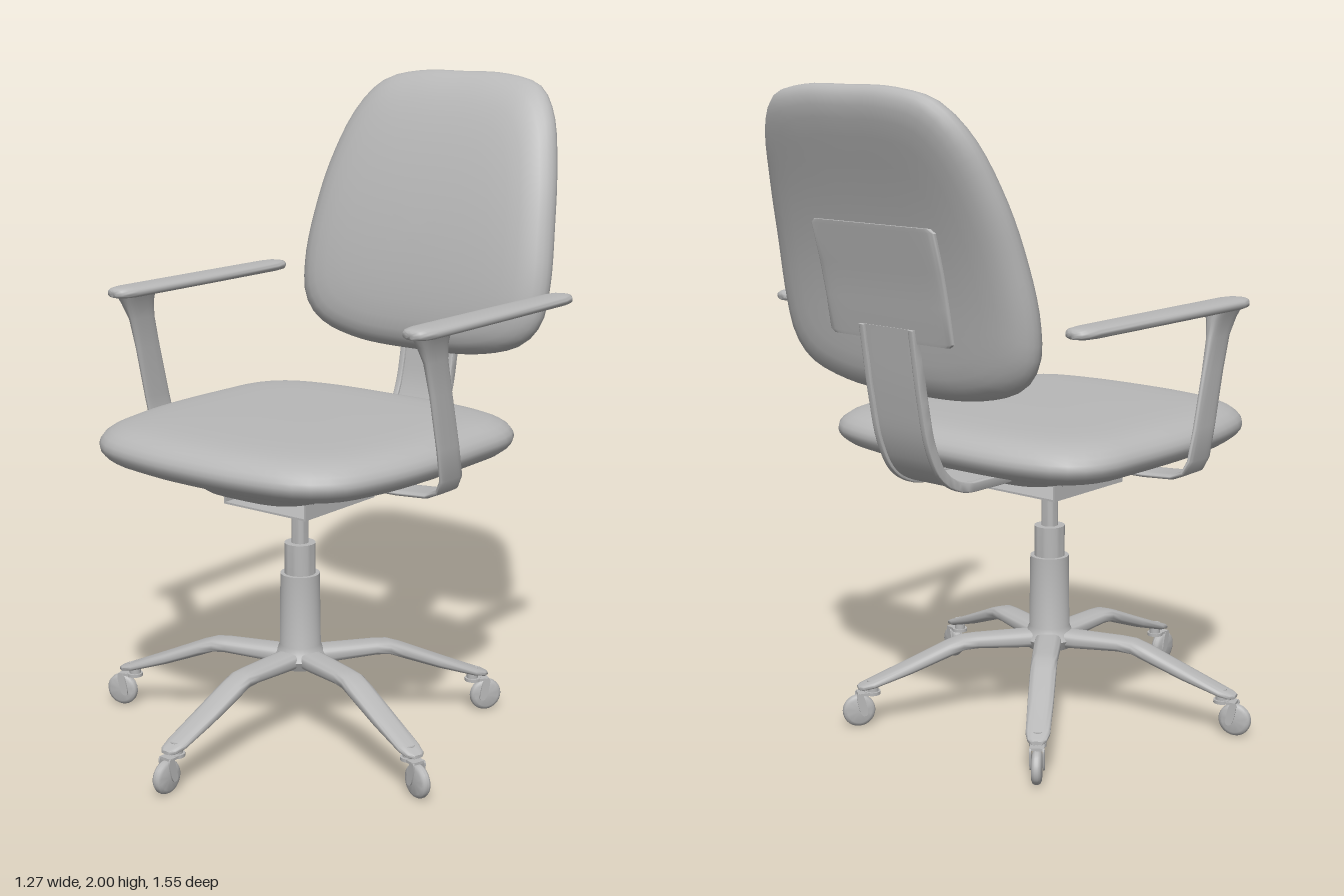
import * as THREE from 'three';
import { toCreasedNormals } from 'three/addons/utils/BufferGeometryUtils.js';

const V = (x, y, z) => new THREE.Vector3(x, y, z);
const grey = new THREE.MeshStandardMaterial({ color: 0xb8b8b8 });
grey.name = 'plainGrey';

// Skin over closed rings of points, capped at both ends and turned outward
function loft(rings, crease = 0.8) {
  const n = rings[0].length, pos = [], idx = [];
  rings.forEach(r => r.forEach(p => pos.push(p.x, p.y, p.z)));
  for (let i = 0; i < rings.length - 1; i++) for (let j = 0; j < n; j++) {
    const a = i * n + j, b = i * n + (j + 1) % n;
    idx.push(a, b, b + n, a, b + n, a + n);
  }
  [0, rings.length - 1].forEach((r, end) => {
    const c = rings[r].reduce((s, p) => s.add(p), V(0, 0, 0)).divideScalar(n);
    const k = pos.length / 3;
    pos.push(c.x, c.y, c.z);
    for (let j = 0; j < n; j++) {
      const a = r * n + j, b = r * n + (j + 1) % n;
      end ? idx.push(k, a, b) : idx.push(k, b, a);
    }
  });
  const at = i => V(pos[3 * i], pos[3 * i + 1], pos[3 * i + 2]);
  let volume = 0;
  for (let i = 0; i < idx.length; i += 3) volume += at(idx[i]).dot(at(idx[i + 1]).cross(at(idx[i + 2])));
  if (volume < 0) idx.reverse();
  const g = new THREE.BufferGeometry();
  g.setAttribute('position', new THREE.Float32BufferAttribute(pos, 3));
  g.setIndex(idx);
  return toCreasedNormals(g, crease);
}

// Rounded section spanned by half axes a and b
function section(c, a, b, power = 4, n = 20) {
  const f = t => Math.sign(t) * Math.pow(Math.abs(t), 2 / power);
  return Array.from({ length: n }, (_, i) => {
    const t = (i + 0.5) / n * Math.PI * 2;
    return c.clone().addScaledVector(a, f(Math.cos(t))).addScaledVector(b, f(Math.sin(t)));
  });
}

// Padded shape: mirrored half outline, domed on both sides
function cushion(half, centre, map) {
  const pts = half.map(([u, v]) => V(u, v, 0));
  for (let i = half.length - 2; i > 0; i--) pts.push(V(-half[i][0], half[i][1], 0));
  const outline = new THREE.CatmullRomCurve3(pts, true).getSpacedPoints(72).slice(0, 72);
  const dome = [[0.03, 1], [0.2, 1], [0.4, 0.995], [0.58, 0.98], [0.72, 0.94], [0.82, 0.87],
    [0.89, 0.76], [0.94, 0.6], [0.975, 0.4], [0.994, 0.2]];
  const rows = [...dome, [1, 0], ...dome.slice().reverse().map(([s, h]) => [s, -h])];
  return loft(rows.map(([s, h]) => outline.map(p => map(p.x * s, centre + (p.y - centre) * s, h))), 1.2);
}

function add(parent, name, geometry, x = 0, y = 0, z = 0) {
  const m = new THREE.Mesh(geometry, grey);
  m.name = name;
  m.position.set(x, y, z);
  parent.add(m);
  return m;
}

export function createModel() {
  const chair = new THREE.Group();
  chair.name = 'officeChair';
  const axisZ = 0.106;

  // Seat and the pan under it
  add(chair, 'seat', cushion([[0, 0.625], [0.2, 0.615], [0.37, 0.575], [0.46, 0.49], [0.5, 0.37], [0.525, 0.2],
    [0.527, -0.1], [0.512, -0.28], [0.45, -0.37], [0.3, -0.42], [0, -0.432]], 0.1,
  (u, v, h) => V(u, 0.937 + h * 0.073, v)));
  add(chair, 'seatPan', loft([[0.8, 0.72], [0.806, 0.77], [0.83, 0.86], [0.852, 0.97], [0.862, 1], [0.885, 1]].map(([y, s]) =>
    section(V(0, y, axisZ), V(0.275 * s, 0, 0), V(0, 0, 0.37 * s), 3.5, 48))));

  // Backrest, leaning back in a gentle curve
  const lean = y => -0.5 - 0.05 * (y - 1.12) - 0.26 * (y - 1.12) ** 2;
  add(chair, 'backrest', cushion([[0, 1.12], [0.25, 1.132], [0.4, 1.18], [0.458, 1.25], [0.475, 1.37], [0.46, 1.55],
    [0.43, 1.72], [0.375, 1.88], [0.3, 1.965], [0.17, 1.997], [0, 2.0]], 1.5,
  (u, v, h) => V(u, v, lean(v) + h * 0.076)));
  const plateRow = ([y, s]) => section(V(0, y, lean(y) - 0.068), V(0.235 * s, 0, 0), V(0, 0, 0.02 * s), 9, 32);
  add(chair, 'backPlate', loft([[1.29, 0.94], [1.3, 1], [1.4, 1], [1.5, 1], [1.61, 1], [1.622, 0.94]].map(plateRow)));

  // Curved back support: flat strip with raised edges
  const path = new THREE.CatmullRomCurve3([V(0, 0.838, -0.15), V(0, 0.838, -0.3), V(0, 0.845, -0.41), V(0, 0.89, -0.49),
    V(0, 0.98, -0.54), V(0, 1.12, -0.572), V(0, 1.33, -0.605)]);
  const strip = (x, w, t) => loft(Array.from({ length: 31 }, (_, i) => {
    const side = path.getTangent(i / 30).cross(V(1, 0, 0));
    return section(path.getPoint(i / 30).setX(x), V(w, 0, 0), side.multiplyScalar(t), 8, 16);
  }));
  add(chair, 'backSupport', strip(0, 0.1, 0.007));
  for (const s of [-1, 1]) add(chair, 'backSupportEdge', strip(s * 0.095, 0.01, 0.015));

  // Armrests: pad plus a blade that bends in under the seat
  for (const s of [-1, 1]) {
    const arm = new THREE.Group();
    arm.name = s > 0 ? 'leftArmrest' : 'rightArmrest';
    chair.add(arm);
    const pad = [[0.322, 0.25], [0.314, 0.6], [0.295, 0.85], [0.26, 1], [-0.1, 0.97], [-0.42, 0.92], [-0.46, 0.8], [-0.48, 0.55], [-0.489, 0.22]];
    add(arm, 'armPad', loft(pad.map(([z, k]) =>
      section(V(s * 0.56, 1.349, z), V(0.052 * k, 0, 0), V(0, 0.018 * Math.sqrt(k), 0), 2.6, 24)), 1.1));
    // x, y, z, half width, half thickness
    const blade = [[0.18, 0.838, 0.105, 0.055, 0.008], [0.4, 0.842, 0.105, 0.055, 0.008], [0.5, 0.85, 0.105, 0.055, 0.008],
      [0.54, 0.868, 0.106, 0.055, 0.008], [0.558, 0.905, 0.112, 0.054, 0.008], [0.561, 1.0, 0.134, 0.053, 0.008],
      [0.561, 1.16, 0.172, 0.051, 0.009], [0.56, 1.26, 0.198, 0.052, 0.013], [0.56, 1.31, 0.214, 0.062, 0.022], [0.56, 1.34, 0.222, 0.07, 0.034]];
    add(arm, 'armBlade', loft(blade.map(([x, y, z, w, t], i) => {
      const p = blade[Math.max(i - 1, 0)], q = blade[Math.min(i + 1, blade.length - 1)];
      const dir = V(q[0] - p[0], q[1] - p[1], 0).normalize();
      return section(V(s * x, y, z), V(0, 0, w), V(-s * dir.y * t, dir.x * t, 0), 3.5, 20);
    }), 1));
  }

  // Open channel under the pan, with bolts
  add(chair, 'channelFloor', new THREE.BoxGeometry(0.314, 0.006, 0.34), 0, 0.745, axisZ);
  for (const s of [-1, 1]) {
    add(chair, 'channelWall', new THREE.BoxGeometry(0.005, 0.075, 0.34), s * 0.155, 0.78, axisZ);
    for (const z of [-0.13, 0, 0.13]) {
      add(chair, 'bolt', new THREE.CylinderGeometry(0.008, 0.008, 0.006, 10).rotateZ(Math.PI / 2), s * 0.159, 0.792, axisZ + z);
    }
    add(chair, 'panScrew', new THREE.CylinderGeometry(0.01, 0.006, 0.03, 10), s * 0.195, 0.8, axisZ);
  }

  // Telescopic column
  const column = [[0, 0.215], [0.07, 0.215], [0.085, 0.245], [0.072, 0.265], [0.064, 0.285], [0.061, 0.513], [0.048, 0.513],
    [0.048, 0.61], [0.026, 0.61], [0.026, 0.722], [0.036, 0.728], [0.036, 0.744], [0, 0.744]];
  add(chair, 'column', toCreasedNormals(new THREE.LatheGeometry(column.map(([r, y]) => new THREE.Vector2(r, y)), 32), 0.7), 0, 0, axisZ);

  // Five legs with casters
  // distance, top, bottom, half width
  const leg = [[0, 0.272, 0.216, 0.04], [0.1, 0.271, 0.22, 0.042], [0.24, 0.27, 0.228, 0.04], [0.285, 0.267, 0.225, 0.04],
    [0.33, 0.252, 0.207, 0.04], [0.45, 0.2, 0.162, 0.039], [0.57, 0.149, 0.124, 0.036], [0.605, 0.136, 0.118, 0.028], [0.617, 0.13, 0.12, 0.016]];
  const legGeo = loft(leg.map(([r, top, low, w]) =>
    section(V(0, (top + low) / 2, r), V(w, 0, 0), V(0, (top - low) / 2, 0), 3, 20)), 1);
  const wheelProfile = [[0, -0.015], [0.038, -0.015], [0.047, -0.011], [0.051, -0.004], [0.051, 0.004], [0.047, 0.011], [0.038, 0.015], [0, 0.015]];
  const wheelGeo = new THREE.LatheGeometry(wheelProfile.map(([r, y]) => new THREE.Vector2(r, y)), 28).rotateZ(Math.PI / 2);
  for (let i = 0; i < 5; i++) {
    const spoke = new THREE.Group();
    spoke.name = 'legWithCaster';
    spoke.position.z = axisZ;
    spoke.rotation.y = i * Math.PI * 2 / 5;
    chair.add(spoke);
    add(spoke, 'leg', legGeo);
    add(spoke, 'casterStem', new THREE.CylinderGeometry(0.018, 0.018, 0.04, 16), 0, 0.125, 0.57);
    add(spoke, 'casterCollar', new THREE.CylinderGeometry(0.026, 0.026, 0.01, 16), 0, 0.106, 0.572);
    add(spoke, 'casterWheel', toCreasedNormals(wheelGeo, 0.8), 0, 0.051, 0.615);
    add(spoke, 'forkBridge', new THREE.BoxGeometry(0.042, 0.008, 0.05), 0, 0.106, 0.595);
    for (const s of [-1, 1]) {
      const cheek = section(V(s * 0.017, 0.073, 0.607), V(0, 0.037, 0.008).negate(), V(0, 0, 0.013), 3, 20);
      add(spoke, 'forkCheek', loft([cheek, cheek.map(p => p.clone().setX(s * 0.022))]));
    }
  }
  return chair;
}
